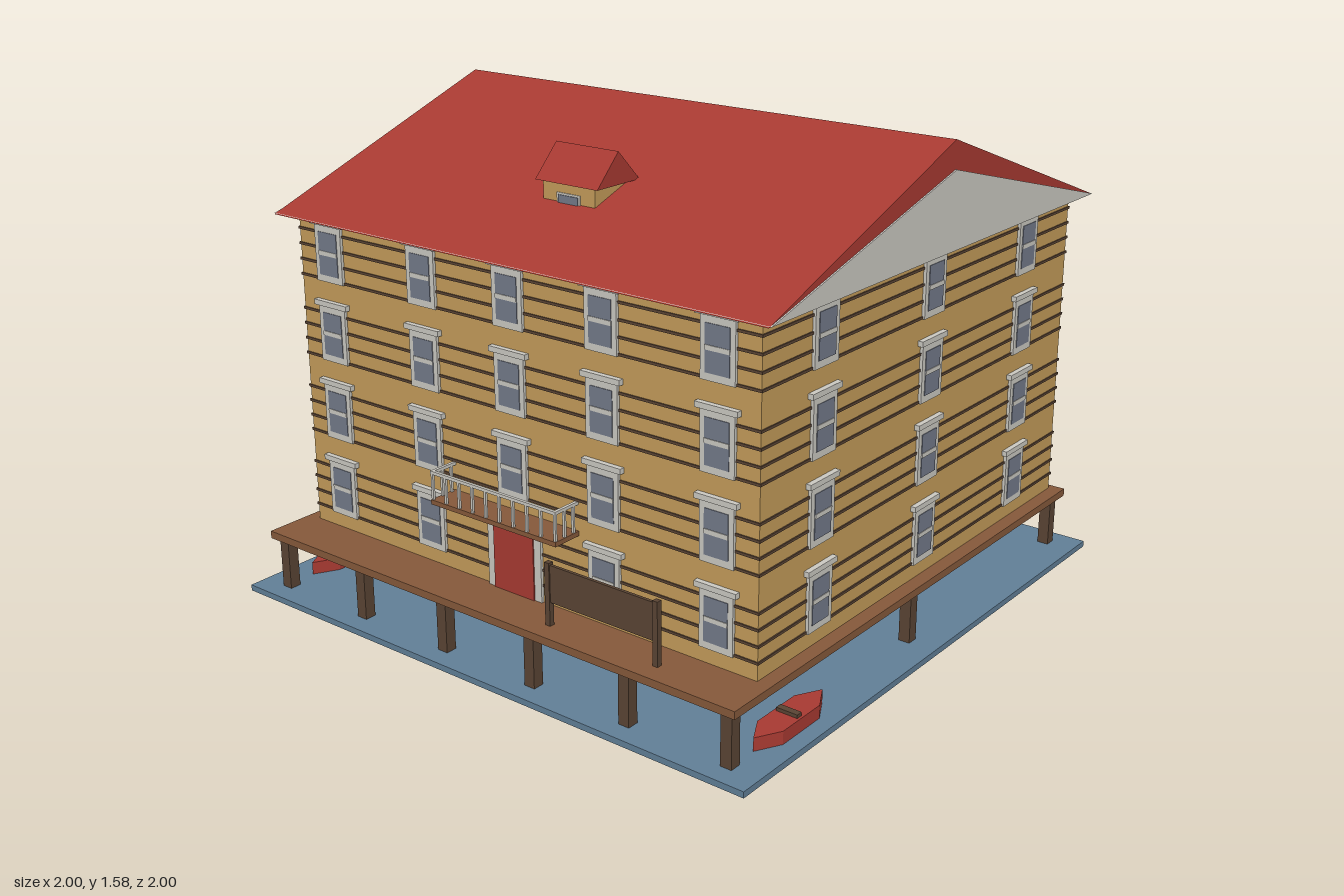
import * as THREE from 'three';

const mat = (name, color, side = THREE.FrontSide) => {
  const m = new THREE.MeshStandardMaterial({ color, side });
  m.name = name;
  return m;
};

export function createModel() {
  const model = new THREE.Group();
  model.name = 'stiltHouse';
  const wood = mat('ochre boards', 0xc49c5a);
  const dark = mat('dark timber', 0x5a4434);
  const deckWood = mat('deck brown', 0x86593b);
  const red = mat('barn red', 0xa83a32);
  const trim = mat('pale trim', 0xcbc9c2);
  const glass = mat('grey glass', 0x737a8a);
  const panelBlue = mat('solar blue', 0x2f3a58);
  const water = mat('water blue', 0x617f97);

  const add = (parent, name, geo, material, x = 0, y = 0, z = 0) => {
    const m = new THREE.Mesh(geo, material);
    m.name = name;
    m.position.set(x, y, z);
    parent.add(m);
    return m;
  };
  // Box given by its limits on each axis
  const box = (parent, name, material, x0, x1, y0, y1, z0, z1) =>
    add(parent, name, new THREE.BoxGeometry(x1 - x0, y1 - y0, z1 - z0), material,
      (x0 + x1) / 2, (y0 + y1) / 2, (z0 + z1) / 2);
  // Triangular prism with its ridge along x; points are [z, y]
  const prism = (parent, name, material, points, halfX) => {
    const shape = new THREE.Shape(points.map(([z, y]) => new THREE.Vector2(-z, y)));
    const geo = new THREE.ExtrudeGeometry(shape, { depth: 2 * halfX, bevelEnabled: false });
    geo.translate(0, 0, -halfX).rotateY(Math.PI / 2);
    return add(parent, name, geo, material);
  };

  // Water, piles and deck
  box(model, 'water', water, -1, 1, 0, 0.02, -1, 1);
  for (let i = 0; i < 6; i++)
    for (const z of [0.918, 0, -0.918]) {
      const x = -0.894 + i * 0.3576;
      box(model, 'pile', dark, x - 0.019, x + 0.019, 0.02, 0.19, z - 0.019, z + 0.019);
    }
  box(model, 'deck', deckWood, -0.935, 0.935, 0.19, 0.215, -0.953, 0.955);

  // Walls with dark board seams, four to each storey
  const W = 0.888, ZF = 0.787, ZB = -0.927, ZC = -0.07, STOREY = 0.262;
  box(model, 'walls', wood, -W, W, 0.215, 1.25, ZB, ZF);
  for (let f = 0; f < 4; f++)
    for (let i = 0; i < 4; i++) {
      const y = 0.27 + f * STOREY + i * 0.05;
      box(model, 'boardSeam', dark, -W - 0.004, W + 0.004, y - 0.004, y + 0.004, ZB - 0.004, ZF + 0.004);
    }

  // Sash window facing +z, bottom of the frame at y = 0
  const addWindow = (x, y, z, turn) => {
    const g = new THREE.Group();
    g.name = 'window';
    box(g, 'windowFrame', trim, -0.058, 0.058, 0, 0.185, 0, 0.01);
    box(g, 'windowCap', trim, -0.072, 0.072, 0.182, 0.199, 0, 0.017);
    box(g, 'windowPane', glass, -0.041, 0.041, 0.022, 0.16, 0.008, 0.012);
    box(g, 'windowBar', trim, -0.041, 0.041, 0.086, 0.1, 0.008, 0.014);
    g.position.set(x, y, z);
    g.rotation.y = turn;
    model.add(g);
  };
  for (let f = 0; f < 4; f++) {
    const y = 0.265 + f * STOREY;
    for (const x of [-0.752, -0.35, 0, 0.35, 0.752])
      if (f > 0 || x !== 0) addWindow(x, y, ZF, 0);
    for (const x of [-0.25, 0.25]) addWindow(x, y, ZB, Math.PI);
    for (const z of [0.5, ZC, -0.64])
      for (const s of [-1, 1]) addWindow(s * W, y, z, s * Math.PI / 2);
  }

  // Front door
  box(model, 'doorFrame', trim, -0.107, 0.107, 0.215, 0.468, ZF, ZF + 0.01);
  box(model, 'door', red, -0.08, 0.08, 0.215, 0.455, ZF + 0.008, ZF + 0.014);

  // Balcony with railing
  box(model, 'balconyFloor', deckWood, -0.25, 0.25, 0.47, 0.485, ZF, 0.888);
  box(model, 'balconyFrontRail', trim, -0.25, 0.25, 0.568, 0.578, 0.877, 0.887);
  for (let i = 0; i < 10; i++) {
    const x = -0.245 + i * 0.0544;
    box(model, 'baluster', trim, x - 0.004, x + 0.004, 0.485, 0.57, 0.878, 0.886);
  }
  for (const s of [-1, 1]) {
    const x = s * 0.245;
    box(model, 'balconySideRail', trim, x - 0.005, x + 0.005, 0.568, 0.578, ZF, 0.88);
    for (const z of [0.805, 0.843])
      box(model, 'baluster', trim, x - 0.004, x + 0.004, 0.485, 0.57, z - 0.004, z + 0.004);
  }

  // Blank notice board on the deck
  box(model, 'noticeBoard', dark, 0.212, 0.622, 0.29, 0.408, 0.88, 0.89);
  for (const x of [0.218, 0.616])
    box(model, 'noticePost', dark, x - 0.009, x + 0.009, 0.215, 0.415, 0.876, 0.894);

  // Roof and pale gable faces
  prism(model, 'roof', red, [[0.84, 1.25], [-0.98, 1.25], [ZC, 1.58]], 0.943);
  prism(model, 'gables', trim, [[0.835, 1.252], [-0.975, 1.252], [ZC, 1.493]], 0.948);

  // Dormer
  box(model, 'dormerWalls', wood, -0.1, 0.1, 1.33, 1.425, 0.36, 0.52);
  box(model, 'dormerFrame', trim, -0.045, 0.045, 1.355, 1.394, 0.518, 0.523);
  box(model, 'dormerPane', glass, -0.038, 0.038, 1.355, 1.388, 0.52, 0.526);
  prism(model, 'dormerRoof', red, [[0.533, 1.423], [0.34, 1.423], [0.436, 1.522]], 0.12);

  // Solar panels above the back slope
  for (let i = 0; i < 6; i++) {
    const p = add(model, 'solarPanel', new THREE.BoxGeometry(0.2, 0.01, 0.243), panelBlue,
      -0.605 + i * 0.242, 1.413, -0.639);
    p.rotation.x = -0.348;
  }

  // Rowing boats: pointed hull, dark thwart
  for (const s of [-1, 1]) {
    const boat = new THREE.Group();
    boat.name = 'boat';
    const plan = [[0, -0.17], [0.044, -0.09], [0.044, 0.09], [0, 0.17], [-0.044, 0.09], [-0.044, -0.09]];
    const geo = new THREE.ExtrudeGeometry(
      new THREE.Shape(plan.map(([x, z]) => new THREE.Vector2(x, z))), { depth: 0.042, bevelEnabled: false });
    geo.rotateX(-Math.PI / 2);
    add(boat, 'hull', geo, red);
    box(boat, 'thwart', dark, -0.036, 0.036, 0.04, 0.053, -0.011, 0.011);
    boat.position.set(s * 0.902, 0.02, 0.652);
    model.add(boat);
  }
  return model;
}
